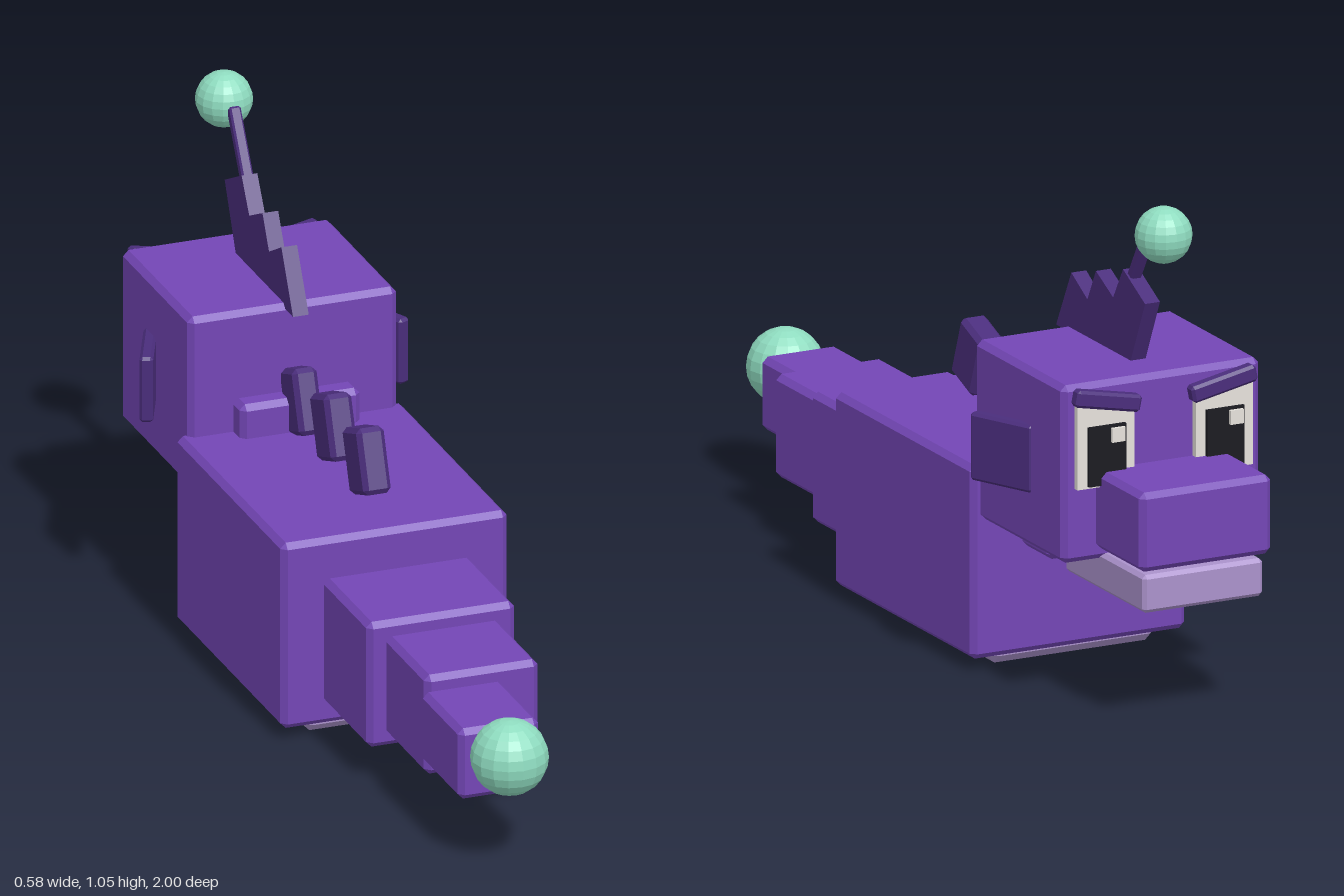
import * as THREE from 'three';
import { ConvexGeometry } from 'three/addons/geometries/ConvexGeometry.js';

const mat = (name, color, flatShading = false) => {
  const m = new THREE.MeshStandardMaterial({ color, flatShading });
  m.name = name;
  return m;
};

// Box with chamfered edges: three inset points at every corner
function chamferBox(w, h, d, b) {
  const pts = [];
  for (const sx of [-1, 1]) for (const sy of [-1, 1]) for (const sz of [-1, 1]) {
    const x = w / 2, y = h / 2, z = d / 2;
    pts.push(
      new THREE.Vector3(sx * x, sy * (y - b), sz * (z - b)),
      new THREE.Vector3(sx * (x - b), sy * y, sz * (z - b)),
      new THREE.Vector3(sx * (x - b), sy * (y - b), sz * z));
  }
  return new ConvexGeometry(pts);
}

export function createModel() {
  const model = new THREE.Group();
  const purple = mat('purple skin', 0x7346b5);
  const dark = mat('dark purple', 0x4a2d7c);
  const lilac = mat('lilac underside', 0xab92cc);
  const mint = mat('mint glow', 0x8fdcc0, true);
  const white = mat('eye white', 0xe6e2dc);
  const black = mat('pupil black', 0x1a1a20);

  const add = (name, geo, m, x, y, z) => {
    const mesh = new THREE.Mesh(geo, m);
    mesh.name = name;
    mesh.position.set(x, y, z);
    model.add(mesh);
    return mesh;
  };
  // Chamfered block given by its limits on each axis
  const block = (name, m, [x0, x1], [y0, y1], [z0, z1], b = 0.012) =>
    add(name, chamferBox(x1 - x0, y1 - y0, z1 - z0, b), m,
      (x0 + x1) / 2, (y0 + y1) / 2, (z0 + z1) / 2);

  // Body and tail
  block('body', purple, [-0.245, 0.245], [0.025, 0.433], [-0.445, 0.16]);
  block('bellyPlate', lilac, [-0.19, 0.19], [0, 0.05], [-0.42, 0.14], 0.018);
  block('tailBase', purple, [-0.16, 0.16], [0.077, 0.352], [0.163, 0.423]);
  block('tailMiddle', purple, [-0.123, 0.123], [0.105, 0.323], [0.42, 0.653]);
  block('tailEnd', purple, [-0.131, 0.043], [0.137, 0.292], [0.645, 0.865]);
  add('tailBall', new THREE.SphereGeometry(0.08, 16, 12), mint, -0.044, 0.245, 0.92);

  // Neck and head
  block('neck', purple, [-0.13, 0.13], [0.25, 0.505], [-0.56, -0.372]);
  block('head', purple, [-0.226, 0.226], [0.32, 0.695], [-0.803, -0.417]);
  block('snout', purple, [-0.15, 0.15], [0.343, 0.51], [-1, -0.78]);
  block('jaw', lilac, [-0.137, 0.137], [0.252, 0.332], [-0.985, -0.64], 0.008);

  // Spines leaning toward the head
  [[0.518, -0.003], [0.518, -0.187], [0.5, -0.37]].forEach(([y, z], i) => {
    const s = i === 2 ? 0.9 : 1;
    add('backSpine', chamferBox(0.06 * s, 0.137, 0.1 * s, 0.01), dark, 0, y, z).rotation.x = -0.35;
  });

  // Saw-toothed crest, drawn in (-z, y) and turned into the middle plane
  const crest = new THREE.Shape([
    [0.375, 0.685], [0.441, 0.812], [0.511, 0.774], [0.548, 0.844],
    [0.623, 0.808], [0.666, 0.879], [0.762, 0.831], [0.695, 0.685],
  ].map(([u, v]) => new THREE.Vector2(u, v)));
  const crestGeo = new THREE.ExtrudeGeometry(crest, { depth: 0.034, bevelEnabled: false });
  crestGeo.translate(0, 0, -0.017).rotateY(Math.PI / 2);
  add('crest', crestGeo, dark, 0, 0, 0);

  // Lure rod with a floating ball
  add('lureRod', chamferBox(0.025, 0.24, 0.022, 0.004), dark, 0, 0.888, -0.695).rotation.x = -0.54;
  add('lureBall', new THREE.SphereGeometry(0.059, 16, 12), mint, 0, 0.988, -0.81);

  // Ears, eyes and brows on both sides
  for (const s of [-1, 1]) {
    const side = s > 0 ? 'left' : 'right';
    add(side + 'Ear', chamferBox(0.028, 0.143, 0.16, 0.006), dark, s * 0.248, 0.506, -0.59).rotation.y = s * 0.42;
    add(side + 'EyeWhite', new THREE.BoxGeometry(0.13, 0.175, 0.018), white, s * 0.135, 0.565, -0.808);
    add(side + 'Pupil', new THREE.BoxGeometry(0.085, 0.125, 0.01), black, s * 0.135, 0.545, -0.82);
    add(side + 'EyeGlint', new THREE.BoxGeometry(0.03, 0.03, 0.008), white, s * 0.135 - 0.022, 0.587, -0.828);
    add(side + 'Brow', chamferBox(0.15, 0.036, 0.03, 0.006), dark, s * 0.132, 0.658, -0.814).rotation.z = s * 0.2;
  }
  return model;
}
